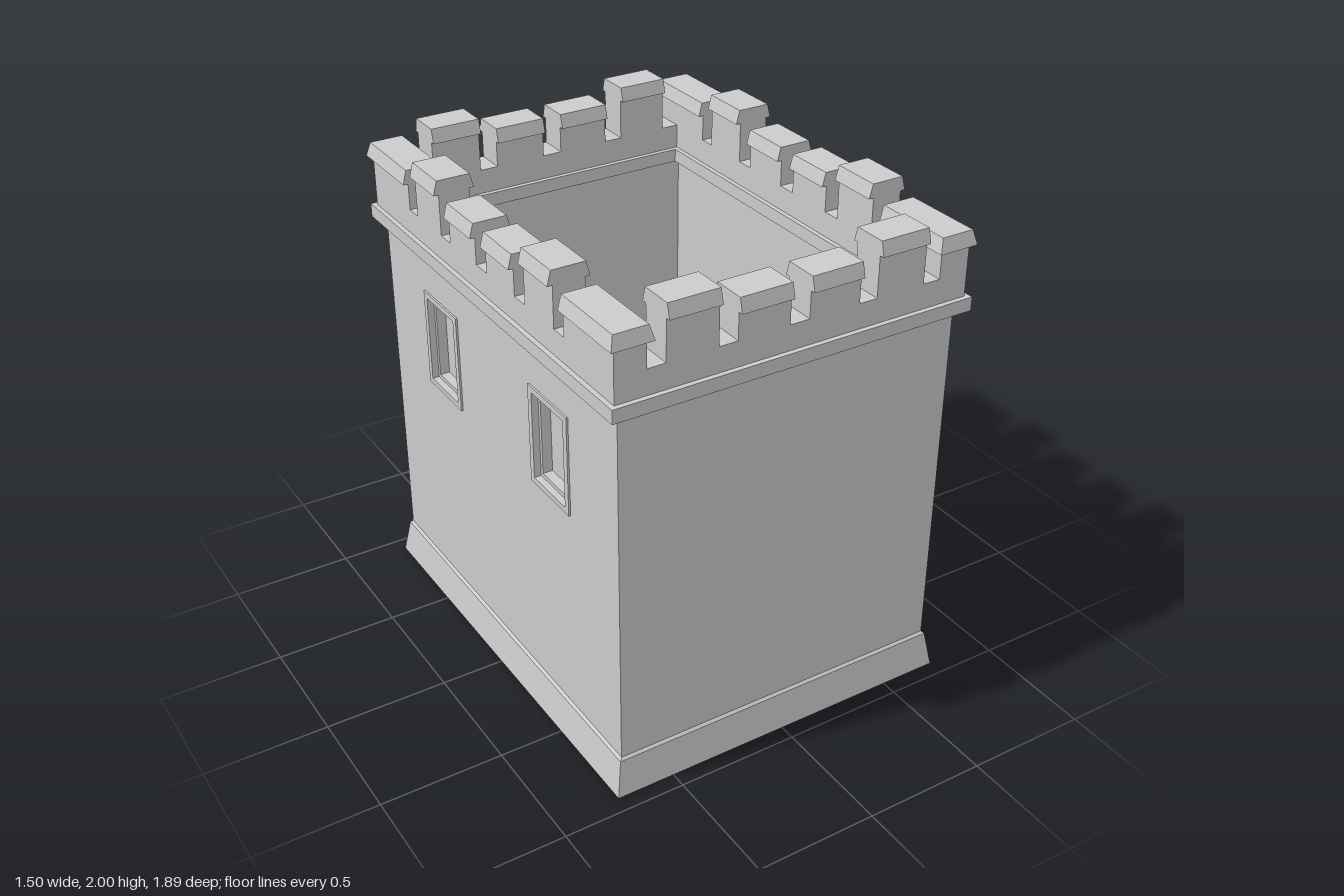
import * as THREE from 'three';

const CX = 0.6675, CZ = 0.8625; // centre lines of the walls
const T = 0.0375;               // half wall thickness

export function createModel() {
  const group = new THREE.Group();
  group.name = 'tower';
  const mat = new THREE.MeshStandardMaterial({ color: 0xcccccc, flatShading: true });

  function add(name, geo, parent = group) {
    const mesh = new THREE.Mesh(geo, mat);
    mesh.name = name;
    parent.add(mesh);
  }

  function box(name, x0, x1, y0, y1, z0, z1) {
    const geo = new THREE.BoxGeometry(x1 - x0, y1 - y0, z1 - z0);
    geo.translate((x0 + x1) / 2, (y0 + y1) / 2, (z0 + z1) / 2);
    add(name, geo);
  }

  // Sweep a [offset, y] profile along path stations [x, z, outwardX, outwardZ].
  function sweep(name, profile, path, closed) {
    const pos = [], idx = [], n = profile.length, m = path.length;
    for (const [x, z, ox, oz] of path)
      for (const [o, y] of profile) pos.push(x + ox * o, y, z + oz * o);
    for (let i = 0; i < (closed ? m : m - 1); i++)
      for (let j = 0; j < n; j++) {
        const a = i * n + j, b = i * n + (j + 1) % n;
        const c = ((i + 1) % m) * n + j, d = ((i + 1) % m) * n + (j + 1) % n;
        idx.push(a, d, b, a, c, d);
      }
    if (!closed)
      for (let j = 1; j < n - 1; j++) {
        const e = (m - 1) * n;
        idx.push(0, j, j + 1, e, e + j + 1, e + j);
      }
    let geo = new THREE.BufferGeometry();
    geo.setAttribute('position', new THREE.Float32BufferAttribute(pos, 3));
    geo.setIndex(idx);
    geo = geo.toNonIndexed();
    geo.computeVertexNormals();
    add(name, geo);
  }

  const corners = [[1, -1], [-1, -1], [-1, 1], [1, 1]].map(([x, z]) => [x * CX, z * CZ, x, z]);
  const bar = (half, y0, y1) => [[half, y0], [half, y1], [-half, y1], [-half, y0]];

  // Door position on the +x wall
  const door = { z0: -0.303, z1: 0.012, top: 0.44, frame: 0.023 };

  // Flared plinth, interrupted by the doorway
  const plinthProfile = [[0.0725, 0], [0.0475, 0.148], [T, 0.158], [-T, 0.158], [-0.0475, 0.148], [-0.0725, 0]];
  sweep('plinth', plinthProfile,
    [[CX, door.z0, 1, 0], ...corners, [CX, door.z1, 1, 0]], false);

  // Cornice and parapet base
  sweep('cornice', bar(0.0825, 1.625, 1.68), corners, true);
  sweep('parapet', bar(0.0625, 1.68, 1.78), corners, true);

  // Front and back walls
  for (const s of [1, -1])
    box(s > 0 ? 'frontWall' : 'backWall', -CX + T, CX - T, 0.15, 1.63, s * CZ - T, s * CZ + T);

  // Extrude a z/y outline along x from x0 to x1
  function extrudeX(shape, x0, x1) {
    const geo = new THREE.ExtrudeGeometry(shape, { depth: x1 - x0, bevelEnabled: false });
    geo.rotateY(-Math.PI / 2);
    geo.translate(x1, 0, 0);
    return geo;
  }
  function rect(Type, z, y, w, h) {
    const p = [[-1, -1], [1, -1], [1, 1], [-1, 1]].map(([a, b]) => new THREE.Vector2(z + a * w / 2, y + b * h / 2));
    return new Type(p);
  }
  function ringShape(z, y, w, h, iw, ih) {
    const shape = rect(THREE.Shape, z, y, w, h);
    shape.holes.push(rect(THREE.Path, z, y, iw, ih));
    return shape;
  }
  const polygon = (pts) => new THREE.Shape(pts.map(([a, b]) => new THREE.Vector2(a, b)));

  // Side walls with blind windows
  const WY = 1.24;
  for (const s of [1, -1]) {
    const side = s > 0 ? 'left' : 'right';
    const span = (a, b) => (s > 0 ? [a, b] : [-b, -a]);
    const e = CZ + T;
    const notch = s > 0
      ? [[door.z0, 0.15], [door.z0, door.top], [door.z1, door.top], [door.z1, 0.15]] : [];
    const wall = polygon([[-e, 0.15], ...notch, [e, 0.15], [e, 1.63], [-e, 1.63]]);
    for (const z of [0.426, -0.43]) {
      wall.holes.push(rect(THREE.Path, z, WY, 0.228, 0.36));
      const win = new THREE.Group();
      win.name = side + 'Window';
      group.add(win);
      add('windowFrame', extrudeX(ringShape(z, WY, 0.28, 0.407, 0.228, 0.36), ...span(0.7, 0.713)), win);
      add('windowInnerFrame', extrudeX(ringShape(z, WY, 0.228, 0.36, 0.198, 0.328), ...span(0.645, 0.685)), win);
      add('windowPane', extrudeX(rect(THREE.Shape, z, WY, 0.228, 0.36), ...span(0.63, 0.645)), win);
    }
    add(side + 'Wall', extrudeX(wall, ...span(CX - T, CX + T)));
  }

  // Door frame, set back in the doorway
  const { z0, z1, top, frame: f } = door;
  add('doorFrame', extrudeX(polygon([
    [z0, 0], [z0 + f, 0], [z0 + f, top - f], [z1 - f, top - f],
    [z1 - f, 0], [z1, 0], [z1, top], [z0, top]]), 0.645, 0.69));

  // Merlon with a sloped cap; a..b runs along the wall, corner marks the sloped outer end
  function merlon(name, alongX, sign, a, b, height, corner) {
    const part = new THREE.Group();
    part.name = name;
    const capY = height - 0.057;
    const body = new THREE.BoxGeometry(0.125, capY - 1.78, b - a);
    body.translate(0, (capY + 1.78) / 2, (a + b) / 2);
    const capEnd = corner > 0 ? b + 0.02 : b, capStart = corner < 0 ? a - 0.02 : a;
    const cap = new THREE.BoxGeometry(0.165, 0.057, capEnd - capStart);
    cap.translate(0, capY + 0.0285, (capStart + capEnd) / 2);
    const p = cap.attributes.position;
    for (let i = 0; i < p.count; i++) {
      if (p.getY(i) < capY + 0.03) continue;
      p.setX(i, p.getX(i) * 0.82);
      if (corner && p.getZ(i) * corner > 0.9) p.setZ(i, p.getZ(i) - corner * 0.015);
    }
    cap.computeVertexNormals();
    add('merlonBody', body, part);
    add('merlonCap', cap, part);
    if (alongX) {
      part.rotation.y = Math.PI / 2;
      part.position.z = sign * CZ;
    } else part.position.x = sign * CX;
    group.add(part);
  }

  for (const s of [1, -1])
    for (const m of [1, -1]) {
      const run = (a, b) => (m > 0 ? [a, b] : [-b, -a]);
      for (const alongX of [true, false]) {
        merlon('lowMerlon', alongX, s, ...run(0.04, 0.252), 1.943, 0);
        merlon('tallMerlon', alongX, s, ...run(0.327, 0.533), 2, 0);
      }
      merlon('cornerMerlon', false, s, ...run(0.6, 0.925), 1.943, m);
    }

  return group;
}
